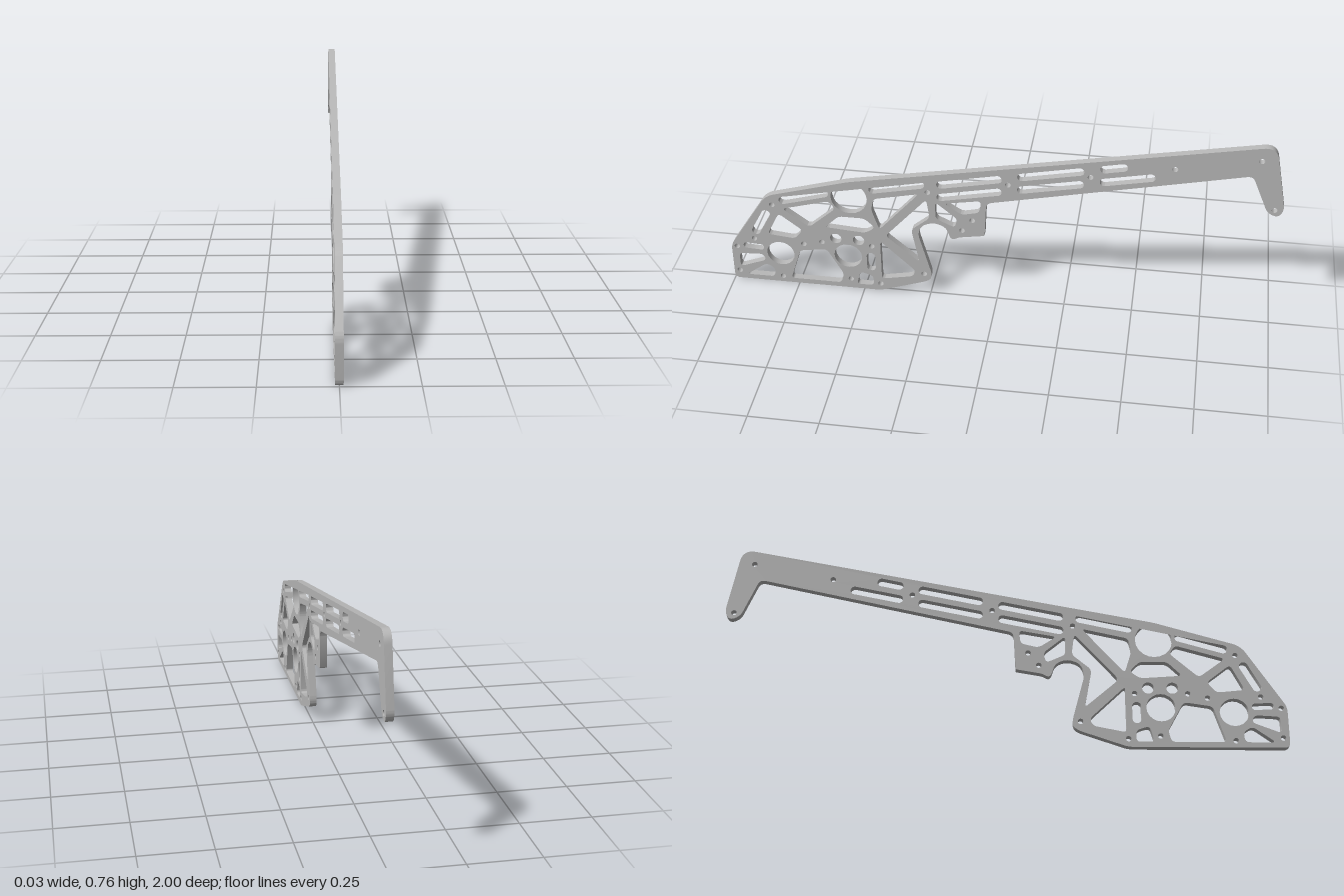
import * as THREE from 'three';
import { toCreasedNormals } from 'three/addons/utils/BufferGeometryUtils.js';

// Side-profile drafting grid: a runs towards the tail, b runs down
const GRID = 186.5;
const THICKNESS = 0.026;
const point = (a, b) => new THREE.Vector2((a - 686.5) / GRID, (294.7 - b) / GRID);

// Closed polygon with rounded corners [a, b, optional radius]
function rounded(path, corners, radius) {
  const n = corners.length;
  corners.forEach(([a, b, r = radius], i) => {
    const c = point(a, b);
    const towards = ([qa, qb]) => {
      const d = point(qa, qb).sub(c);
      return c.clone().addScaledVector(d, Math.min(r / GRID / d.length(), 0.48));
    };
    const s = towards(corners[(i + n - 1) % n]);
    const e = towards(corners[(i + 1) % n]);
    if (i === 0) path.moveTo(s.x, s.y);
    else path.lineTo(s.x, s.y);
    path.quadraticCurveTo(c.x, c.y, e.x, e.y);
  });
  path.closePath();
  return path;
}

function circle(a, b, r) {
  const c = point(a, b);
  return new THREE.Path().absarc(c.x, c.y, r / GRID, 0, Math.PI * 2);
}

// Round-ended slot between two centres
function slot(a0, b0, a1, b1, r) {
  const s = point(a0, b0);
  const e = point(a1, b1);
  const t = Math.atan2(e.y - s.y, e.x - s.x);
  const path = new THREE.Path();
  path.absarc(s.x, s.y, r / GRID, t + Math.PI / 2, t + Math.PI * 1.5);
  path.absarc(e.x, e.y, r / GRID, t - Math.PI / 2, t + Math.PI / 2);
  path.closePath();
  return path;
}

export function createModel() {
  const group = new THREE.Group();
  group.name = 'sideFrame';
  const metal = new THREE.MeshStandardMaterial({ color: 0xb8b8b8 });
  metal.name = 'grey metal';

  // Outline: belly, hooked notch, bracket, boom, drooping tail and nose
  const shape = rounded(new THREE.Shape(), [
    [500, 294.7], [605, 294.7], [640, 282.5, 6], [641.5, 277],
    [632.5, 243], [635.5, 235.5], [644, 232.5], [652, 235.5], [655.5, 246],
    [661, 243, 2], [678.3, 240, 1], [679.5, 213], [851.5, 174.5],
    [863, 202], [870, 205], [873.6, 199], [864.5, 151.3, 9],
    [586, 205], [528, 222, 6], [500, 266],
  ], 4);

  // Truss pockets above the hubs
  const upperPockets = [
    [[539, 231.5], [572, 222], [576, 228], [557, 245]],
    [[536, 236], [552, 248.5], [546, 256], [527, 254]],
    [[568, 244], [578, 234], [596, 234], [603, 241], [596, 246]],
    [[601, 226], [603, 217], [634, 210], [606, 242]],
    [[610, 247], [639, 214], [641, 229], [628, 240], [633, 267]],
    [[651, 216], [676, 211.5], [675, 221], [663, 224]],
    [[645, 215.5], [660, 228], [658, 235], [645, 229]],
  ];
  // Truss pockets around the lower bores
  const lowerPockets = [
    [[606, 252], [630, 275], [628, 280], [606, 284.5]],
    [[541, 291], [549, 266], [568, 263], [579, 283], [577, 291]],
    [[505, 273], [522, 272], [524, 277], [505, 284.5]],
    [[509, 291], [524, 280], [530, 284], [529, 291]],
    [[588, 291], [591, 280], [600, 283], [600, 291]],
  ];
  for (const corners of [...upperPockets, ...lowerPockets]) {
    shape.holes.push(rounded(new THREE.Path(), corners, 3));
  }

  // Body slots: two under the top edge, one in the nose, two beside the bores
  shape.holes.push(
    slot(540, 224.5, 569, 216, 3),
    slot(603, 209.5, 635, 202.5, 3),
    slot(527, 237, 519, 252, 3),
    slot(511, 265.5, 521, 266, 2.3),
    slot(599, 266, 599, 275, 3),
  );

  // Boom: evenly spaced bolts with a pair of slots in each of the first three bays
  const boomLine = (a) => 208 - 0.21 * (a - 640);
  for (let i = 0; i < 5; i++) {
    const a = 640 + 54 * i;
    shape.holes.push(circle(a, boomLine(a), 1.9));
    if (i > 2) continue;
    for (const side of [-5, 5]) {
      const start = a + 9;
      const end = a + (i < 2 ? 47 : 33 + side * 1.8 - 3);
      shape.holes.push(slot(start, boomLine(start) + side, end, boomLine(end) + side, 2.9));
    }
  }

  // Bearing bores
  shape.holes.push(circle(586, 218, 12.5), circle(535, 270, 9.7), circle(583, 267, 9.7));
  for (const a of [575, 591]) shape.holes.push(circle(a, 253, 4));

  // Body, bracket and tail-tip bolt holes
  const bolts = [
    [532, 229], [517, 259], [504, 267], [504, 288], [535, 290], [584, 287], [605, 289],
    [636, 277], [552, 260], [565, 257], [600, 257], [663, 237], [670, 228], [867.5, 199.5],
  ];
  for (const [a, b] of bolts) shape.holes.push(circle(a, b, 1.9));

  // Extrude the profile and turn it so the thickness lies along x
  const geometry = new THREE.ExtrudeGeometry(shape, {
    depth: THICKNESS, bevelEnabled: false, curveSegments: 10,
  });
  geometry.translate(0, 0, -THICKNESS / 2);
  geometry.rotateY(Math.PI / 2);

  const plate = new THREE.Mesh(toCreasedNormals(geometry, 0.6), metal);
  plate.name = 'framePlate';
  group.add(plate);
  return group;
}
